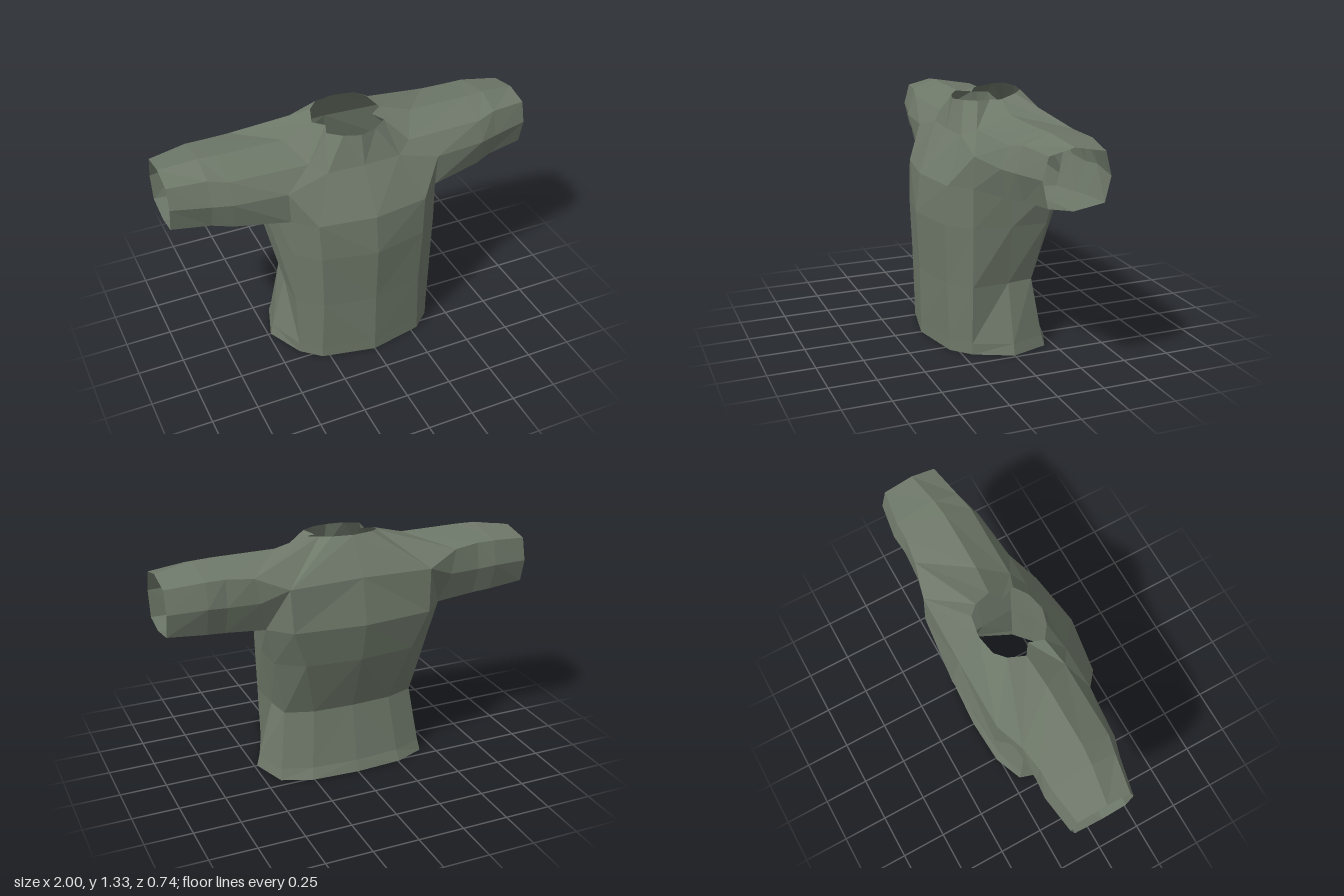
import * as THREE from 'three';

const cloth = new THREE.MeshStandardMaterial({ color: 0x6e7869, flatShading: true, side: THREE.DoubleSide });
cloth.name = 'sage cloth';

// Mesh from faces (lists of 3 or 4 points); side -1 mirrors across x
function panel(name, faces, side) {
  const pos = [];
  const tri = (a, b, c) => {
    for (const p of side > 0 ? [a, b, c] : [a, c, b]) pos.push(p[0] * side, p[1], p[2]);
  };
  for (const [a, b, c, d] of faces) {
    tri(a, b, c);
    if (d) tri(a, c, d);
  }
  const g = new THREE.BufferGeometry();
  g.setAttribute('position', new THREE.Float32BufferAttribute(pos, 3));
  g.computeVertexNormals();
  const m = new THREE.Mesh(g, cloth);
  m.name = name;
  return m;
}

// Half torso rings: height, then (x, z) from front centre round to back centre
const torso = [
  [0, [[0, .35], [.29, .29], [.39, .2], [.485, 0], [.42, -.2], [.26, -.265], [0, -.28]]],
  [.06, [[0, .35], [.29, .29], [.39, .2], [.47, 0], [.41, -.185], [.25, -.24], [0, -.26]]],
  [.37, [[0, .353], [.28, .3], [.4, .2], [.39, 0], [.37, -.14], [.22, -.19], [0, -.2]]],
  [.69, [[0, .37], [.29, .31], [.41, .2], [.44, 0], [.44, -.19], [.3, -.29], [0, -.32]]],
  [.9, [[0, .345], [.3, .3], [.41, .2], [.45, 0], [.49, -.22], [.38, -.33], [0, -.37]]],
].map(([y, ring]) => ring.map(([x, z]) => [x, y, z]));
const R = torso[4];

// Sleeve root loop, from front middle over the top and round underneath
const S = [[.42, 1.07, .2], [.28, 1.17, .13], [.36, 1.25, -.02], [.56, 1.2, -.27],
  [.53, 1.07, -.28], R[4], R[3], R[2]];
const loop = (x, pts) => pts.map(([y, z]) => [x, y, z]);
const sleeve = [S,
  loop(.7, [[1.07, .175], [1.18, .13], [1.25, -.02], [1.21, -.25], [1.07, -.27], [.92, -.22], [.9, -.05], [.92, .14]]),
  loop(.8, [[1.07, .145], [1.2, .105], [1.25, -.03], [1.21, -.25], [1.08, -.28], [.93, -.23], [.91, -.05], [.93, .1]]),
  loop(1, [[1.08, .1], [1.19, .07], [1.22, -.06], [1.19, -.22], [1.07, -.25], [.945, -.22], [.92, -.06], [.945, .07]]),
];

// Neck opening, upper chest and upper back points
const N = [[0, 1.285, .155], [.09, 1.29, .13], [.16, 1.295, .08], [.13, 1.29, 0],
  [.19, 1.3, -.04], [.16, 1.32, -.13], [.11, 1.33, -.18], [0, 1.33, -.2]];
const U = [[0, 1.13, .195], [.2, 1.13, .185]];
const V = [[0, 1.14, -.32], [.39, 1.13, -.315]];

const frontFaces = [
  [R[0], R[1], U[1], U[0]], [R[1], R[2], S[0], U[1]], [U[1], S[0], S[1]],
  [U[0], U[1], N[1], N[0]], [U[1], S[1], N[2], N[1]],
];
const shoulderFaces = [
  [S[1], N[3], N[2]], [S[1], S[2], N[4], N[3]], [S[2], S[3], N[4]], [S[3], N[5], N[4]],
];
const backFaces = [
  [R[5], R[6], V[0], V[1]], [R[4], R[5], V[1], S[4]], [S[4], V[1], S[3]],
  [V[1], V[0], N[7], N[6]], [V[1], N[6], N[5]], [S[3], V[1], N[5]],
];

// Quads between neighbouring rings
const torsoFaces = [];
for (let j = 0; j < torso.length - 1; j++)
  for (let i = 0; i < 6; i++)
    torsoFaces.push([torso[j][i], torso[j][i + 1], torso[j + 1][i + 1], torso[j + 1][i]]);

const sleeveFaces = [];
for (let j = 0; j < sleeve.length - 1; j++)
  for (let i = 0; i < 8; i++) {
    const k = (i + 1) % 8;
    sleeveFaces.push([sleeve[j][i], sleeve[j + 1][i], sleeve[j + 1][k], sleeve[j][k]]);
  }

export function createModel() {
  const shirt = new THREE.Group();
  shirt.name = 'shirt';
  for (const [side, label] of [[1, 'left'], [-1, 'right']]) {
    shirt.add(
      panel(label + 'Torso', torsoFaces, side),
      panel(label + 'Chest', frontFaces, side),
      panel(label + 'Shoulder', shoulderFaces, side),
      panel(label + 'UpperBack', backFaces, side),
      panel(label + 'Sleeve', sleeveFaces, side),
    );
  }
  return shirt;
}
